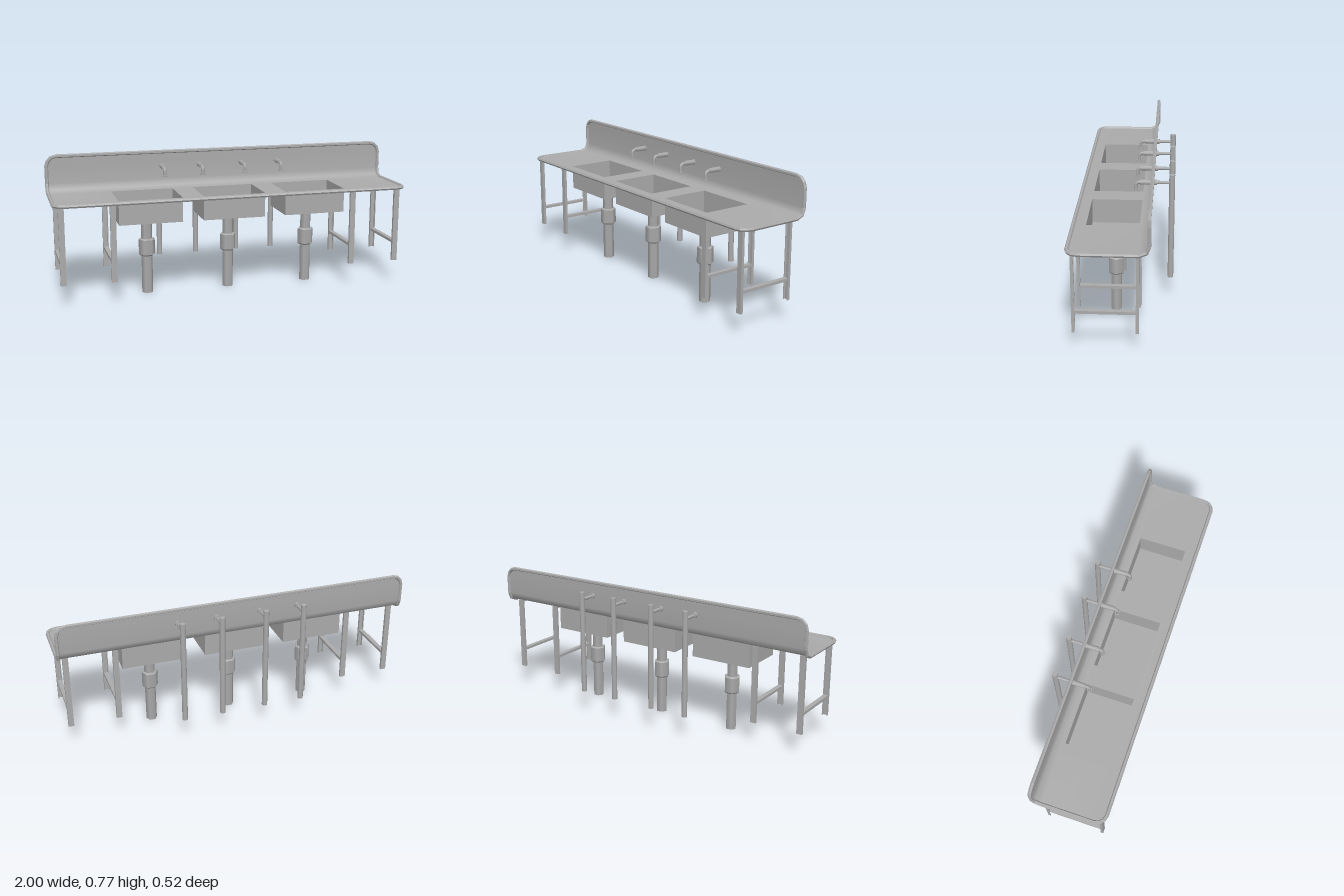
import * as THREE from 'three';
import { mergeGeometries, mergeVertices } from 'three/addons/utils/BufferGeometryUtils.js';

const steel = new THREE.MeshStandardMaterial({ color: 0xaaaaaa, side: THREE.DoubleSide });
steel.name = 'steel';

const X = 0.99; // half width to the middle of the rim
const CORNER = 0.055;
const FLAT_Y = 0.559, BACK_Z = -0.145; // levels of worktop and splashback
const BEND = [[-0.097, FLAT_Y], [-0.133, 0.574], [BACK_Z, 0.608]]; // z, y
const BASIN_X = [-0.469, -0.002, 0.467];
const BASIN = { w: 0.35, z0: -0.086, z1: 0.183, y: 0.425 };

function add(parent, name, geometry, x = 0, y = 0, z = 0) {
  const mesh = new THREE.Mesh(geometry, steel);
  mesh.name = name;
  mesh.position.set(x, y, z);
  parent.add(mesh);
  return mesh;
}

// Outline of a panel from v0 to v1 with the two corners at v1 rounded
function panelOutline(v0, v1) {
  const side = [[X, v0]];
  for (let i = 0; i <= 3; i++) {
    const a = (i / 3) * Math.PI / 2;
    side.push([X - CORNER + CORNER * Math.cos(a), v1 - CORNER + CORNER * Math.sin(a)]);
  }
  return [...side, ...side.map(([x, v]) => [-x, v]).reverse()];
}
const flatOutline = panelOutline(BEND[0][0], 0.248);
const backOutline = panelOutline(BEND[2][1], 0.762);

// Worktop with basin openings, bend and splashback as one smooth sheet
function sheetGeometry() {
  const top = new THREE.Shape(flatOutline.map(([x, z]) => new THREE.Vector2(x, -z)));
  for (const bx of BASIN_X) {
    const x0 = bx - BASIN.w / 2, x1 = bx + BASIN.w / 2;
    top.holes.push(new THREE.Path([[x0, -BASIN.z0], [x1, -BASIN.z0], [x1, -BASIN.z1], [x0, -BASIN.z1]]
      .map(([x, y]) => new THREE.Vector2(x, y))));
  }
  const flat = new THREE.ShapeGeometry(top).rotateX(-Math.PI / 2).translate(0, FLAT_Y, 0);
  const back = new THREE.ShapeGeometry(
    new THREE.Shape(backOutline.map(([x, y]) => new THREE.Vector2(x, y)))).translate(0, 0, BACK_Z);
  const bend = new THREE.PlaneGeometry(2 * X, 1, 1, 2);
  for (let i = 0; i < 6; i++) {
    const [z, y] = BEND[2 - Math.floor(i / 2)];
    bend.attributes.position.setXYZ(i, i % 2 ? X : -X, y, z);
  }
  const parts = [flat, bend, back];
  parts.forEach((g) => { g.deleteAttribute('uv'); g.deleteAttribute('normal'); });
  const sheet = mergeVertices(mergeGeometries(parts), 1e-4);
  sheet.computeVertexNormals();
  return sheet;
}

// Six-sided rim swept around the edge of the sheet
function rimGeometry() {
  const path = [];
  const put = (x, y, z, ny, nz) => path.push({
    p: new THREE.Vector3(x, y, z), n: new THREE.Vector3(0, ny, nz).normalize() });
  const last = flatOutline.length - 1;
  flatOutline.forEach(([x, z], i) => put(x, FLAT_Y, z, 1, i % last ? 0 : 0.2));
  put(-X, BEND[1][1], BEND[1][0], 0.8, 0.8);
  [...backOutline].reverse().forEach(([x, y], i) => put(x, y, BACK_Z, i % last ? 0 : 0.2, 1));
  put(X, BEND[1][1], BEND[1][0], 0.8, 0.8);

  const count = path.length, positions = [], index = [];
  path.forEach(({ p, n }, i) => {
    const t = path[(i + 1) % count].p.clone().sub(path[(i + count - 1) % count].p).normalize();
    const side = new THREE.Vector3().crossVectors(t, n).normalize();
    for (let k = 0; k < 6; k++) {
      const a = k * Math.PI / 3;
      const v = p.clone().addScaledVector(side, 0.0104 * Math.cos(a)).addScaledVector(n, 0.0104 * Math.sin(a));
      positions.push(v.x, v.y, v.z);
      const j = (i + 1) % count, m = (k + 1) % 6;
      index.push(i * 6 + k, i * 6 + m, j * 6 + m, i * 6 + k, j * 6 + m, j * 6 + k);
    }
  });
  const g = new THREE.BufferGeometry();
  g.setAttribute('position', new THREE.Float32BufferAttribute(positions, 3));
  g.setIndex(index);
  const flat = g.toNonIndexed();
  flat.computeVertexNormals();
  return flat;
}

// Open-topped basin
function basinGeometry() {
  const g = new THREE.BoxGeometry(BASIN.w, FLAT_Y - BASIN.y, BASIN.z1 - BASIN.z0);
  const index = Array.from(g.index.array);
  index.splice(12, 6);
  g.setIndex(index);
  g.clearGroups();
  return g;
}

// U-shaped bar along y with its closed face on +z
function channel(name, width, length, depth) {
  const t = 0.004, bar = new THREE.Group();
  bar.name = name;
  add(bar, name + 'Web', new THREE.BoxGeometry(width, length, t), 0, 0, depth / 2 - t / 2);
  for (const s of [-1, 1]) {
    add(bar, name + 'Flange', new THREE.BoxGeometry(t, length, depth - t), s * (width - t) / 2, 0, -t / 2);
  }
  return bar;
}

function legFrame(x) {
  const frame = new THREE.Group();
  frame.name = 'legFrame';
  frame.position.x = x;
  const front = channel('frontLeg', 0.031, 0.427, 0.015);
  front.position.set(0, 0.3415, 0.223);
  const back = channel('backLeg', 0.031, 0.427, 0.015);
  back.position.set(0, 0.3415, -0.0895);
  back.rotation.y = Math.PI;
  frame.add(front, back);
  for (const [name, y] of [['crossBar', 0.2385], ['topRail', 0.5505]]) {
    const bar = channel(name, 0.026, 0.3, 0.015);
    bar.rotation.x = -Math.PI / 2;
    bar.position.set(0, y, 0.067);
    frame.add(bar);
  }
  return frame;
}

// Hexagonal drain pipe with a collar
function drain(x) {
  const g = new THREE.Group();
  g.name = 'drain';
  g.position.set(x, 0, 0.043);
  const tube = (name, r0, r1, y0, y1, open) => add(g, name,
    new THREE.CylinderGeometry(r1, r0, y1 - y0, 6, 1, open, Math.PI / 2), 0, (y0 + y1) / 2, 0);
  tube('drainPipe', 0.031, 0.031, 0, 0.426, false);
  tube('collar', 0.0455, 0.0455, 0.222, 0.306, true);
  tube('collarTop', 0.0455, 0.04, 0.306, 0.312, false);
  tube('collarBottom', 0.037, 0.0455, 0.214, 0.222, false);
  return g;
}

function faucet(x) {
  const g = new THREE.Group();
  g.name = 'faucet';
  g.position.x = x;
  const y = 0.682;
  const along = (name, r, z0, z1) => add(g, name,
    new THREE.CylinderGeometry(r, r, z1 - z0, 10).rotateX(Math.PI / 2), 0, y, (z0 + z1) / 2);
  add(g, 'supplyPipe', new THREE.CylinderGeometry(0.0155, 0.0155, 0.59, 10), 0, 0.43, -0.243);
  along('feedPipe', 0.009, -0.24, -0.16);
  along('wallCollar', 0.0155, -0.163, -0.136);
  along('faucetBody', 0.0135, -0.136, -0.075);
  const bend = new THREE.CurvePath();
  const v = (py, pz) => new THREE.Vector3(0, py, pz);
  bend.add(new THREE.QuadraticBezierCurve3(v(y, -0.077), v(y, -0.052), v(0.66, -0.052)));
  bend.add(new THREE.LineCurve3(v(0.66, -0.052), v(0.638, -0.052)));
  add(g, 'spout', new THREE.TubeGeometry(bend, 10, 0.0095, 8));
  add(g, 'spoutLip', new THREE.CylinderGeometry(0.0145, 0.0145, 0.006, 10), 0, 0.638, -0.052);
  return g;
}

export function createModel() {
  const model = new THREE.Group();
  model.name = 'tripleBasinSink';
  add(model, 'worktopAndSplashback', sheetGeometry());
  add(model, 'rim', rimGeometry());
  for (const x of BASIN_X) {
    add(model, 'basin', basinGeometry(), x, (FLAT_Y + BASIN.y) / 2, (BASIN.z0 + BASIN.z1) / 2);
    model.add(drain(x - 0.003));
  }
  for (const x of [-0.953, -0.682, 0.679, 0.948]) model.add(legFrame(x));
  for (const x of [-0.344, -0.125, 0.125, 0.344]) model.add(faucet(x));
  return model;
}
